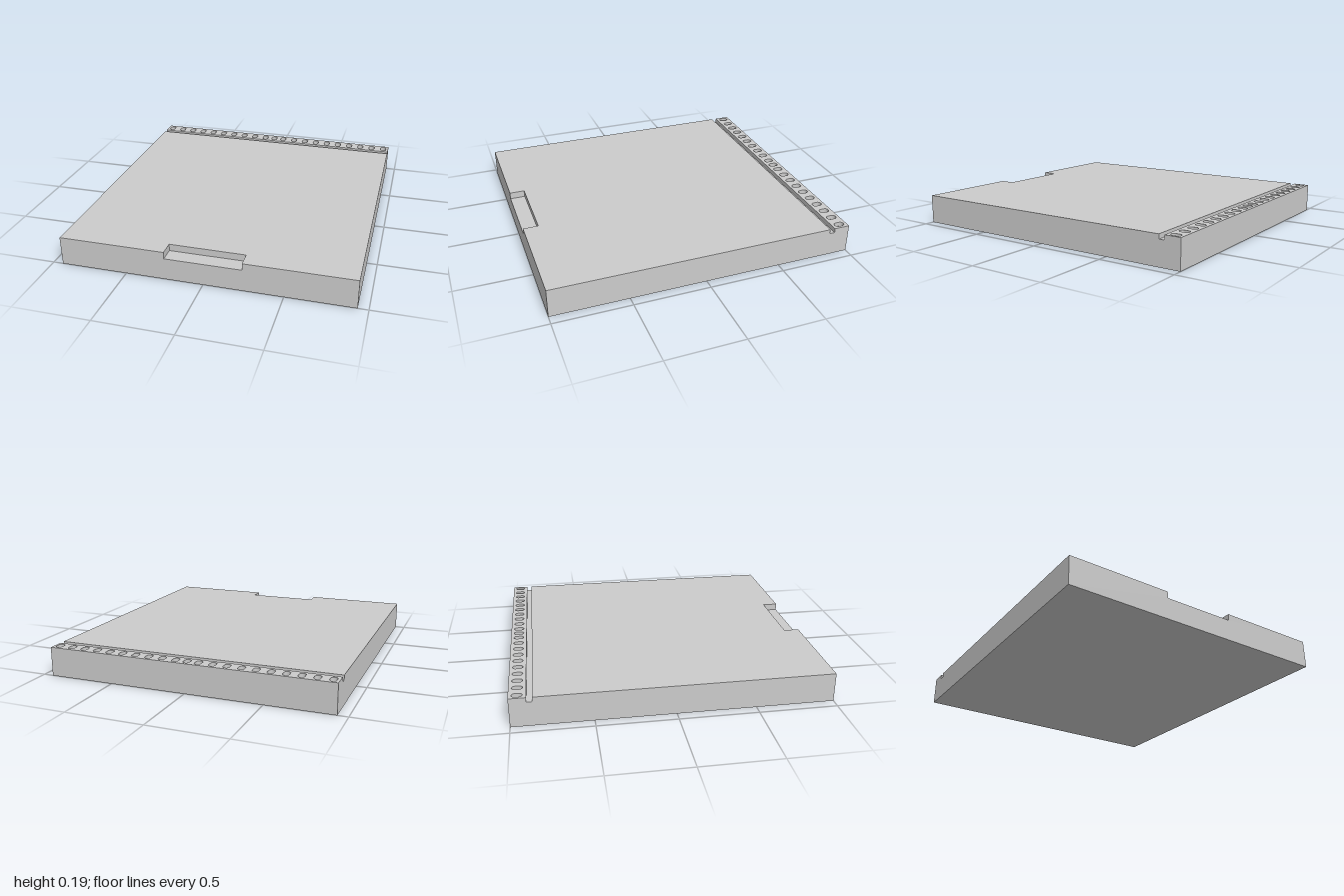
import * as THREE from 'three';
import { mergeGeometries } from 'three/addons/utils/BufferGeometryUtils.js';

const W = 0.935, H = 0.19, D = 1;               // half width, height, half depth
const GF = -0.86, GB = -0.895, GY = 0.16;       // groove front, back and floor
const NX = 0.245, NZ = 0.9, NY = 0.145;         // notch half width, back and floor
const SLOT_Z = -0.948, SLOT_R = 0.021, SLOT_HALF = 0.012, SLOT_FLOOR = 0.16;

const poly = pts => new THREE.Shape(pts.map(p => new THREE.Vector2(...p)));
const rect = (x0, y0, x1, y1) => poly([[x0, y0], [x1, y0], [x1, y1], [x0, y1]]);
const flat = s => new THREE.ShapeGeometry(s, 8);

// Flat faces by the direction they look in; for "up" the shape's y is -z
const face = {
  front: (s, z) => flat(s).translate(0, 0, z),
  back: (s, z) => flat(s).rotateY(Math.PI).translate(0, 0, z),
  left: (s, x) => flat(s).rotateY(Math.PI / 2).translate(x, 0, 0),
  right: (s, x) => flat(s).rotateY(-Math.PI / 2).translate(x, 0, 0),
  up: (s, y) => flat(s).rotateX(-Math.PI / 2).translate(0, y, 0),
  down: (s, y) => flat(s).rotateX(Math.PI / 2).translate(0, y, 0),
};

// Rounded slot outline in plan
function slotShape(x) {
  const s = new THREE.Shape();
  s.absarc(x, -SLOT_Z + SLOT_HALF, SLOT_R, 0, Math.PI, false);
  s.absarc(x, -SLOT_Z - SLOT_HALF, SLOT_R, Math.PI, Math.PI * 2, false);
  s.closePath();
  return s;
}

// Inward-facing wall of a slot
function slotWall(shape) {
  const pts = shape.getPoints(8), pos = [], uv = [];
  for (let i = 0; i < pts.length; i++) {
    const a = pts[i], b = pts[(i + 1) % pts.length];
    if (a.distanceTo(b) < 1e-6) continue;
    const a0 = [a.x, SLOT_FLOOR, -a.y], a1 = [a.x, H, -a.y];
    const b0 = [b.x, SLOT_FLOOR, -b.y], b1 = [b.x, H, -b.y];
    pos.push(...a0, ...b1, ...b0, ...a0, ...a1, ...b1);
    uv.push(0, 0, 1, 1, 1, 0, 0, 0, 0, 1, 1, 1);
  }
  const g = new THREE.BufferGeometry();
  g.setAttribute('position', new THREE.Float32BufferAttribute(pos, 3));
  g.setAttribute('uv', new THREE.Float32BufferAttribute(uv, 2));
  g.computeVertexNormals();
  return g;
}

export function createModel() {
  const model = new THREE.Group();
  model.name = 'slottedSlab';
  const material = new THREE.MeshStandardMaterial({ color: 0xcccccc });
  const add = (name, geos) => {
    const mesh = new THREE.Mesh(mergeGeometries(geos.map(g => (g.index ? g.toNonIndexed() : g))), material);
    mesh.name = name;
    model.add(mesh);
  };

  // Slot row: one in the middle, ten evenly spaced on each side
  const xs = [0];
  for (let i = 0; i < 10; i++) xs.push(0.075 + i * 0.0913, -0.075 - i * 0.0913);
  const slots = xs.map(slotShape);

  // Outer faces; the side outline carries the groove, the front one the notch
  const side = s => poly([[-D * s, 0], [D * s, 0], [D * s, H], [-GB * s, H], [-GB * s, GY],
    [-GF * s, GY], [-GF * s, H], [-D * s, H]]);
  add('body', [
    face.front(poly([[-W, 0], [W, 0], [W, H], [NX, H], [NX, NY], [-NX, NY], [-NX, H], [-W, H]]), D),
    face.back(rect(-W, 0, W, H), -D),
    face.left(side(1), W),
    face.right(side(-1), -W),
    face.down(rect(-W, -D, W, D), 0),
  ]);

  // Main top with the notch cut out of its front edge
  add('topPanel', [face.up(poly([[-W, -D], [-NX, -D], [-NX, -NZ], [NX, -NZ], [NX, -D], [W, -D],
    [W, -GF], [-W, -GF]]), H)]);

  // Rear strip pierced by the slots
  const strip = rect(-W, -GB, W, D);
  strip.holes.push(...slots);
  add('rearStrip', [face.up(strip, H)]);
  add('slots', slots.flatMap(s => [slotWall(s), face.up(s, SLOT_FLOOR)]));

  // Groove between top panel and rear strip
  add('groove', [
    face.up(rect(-W, -GF, W, -GB), GY),
    face.front(rect(-W, GY, W, H), GB),
    face.back(rect(-W, GY, W, H), GF),
  ]);

  // Finger notch in the front edge
  add('frontNotch', [
    face.up(rect(-NX, -D, NX, -NZ), NY),
    face.front(rect(-NX, NY, NX, H), NZ),
    face.left(rect(-D, NY, -NZ, H), -NX),
    face.right(rect(NZ, NY, D, H), NX),
  ]);
  return model;
}
